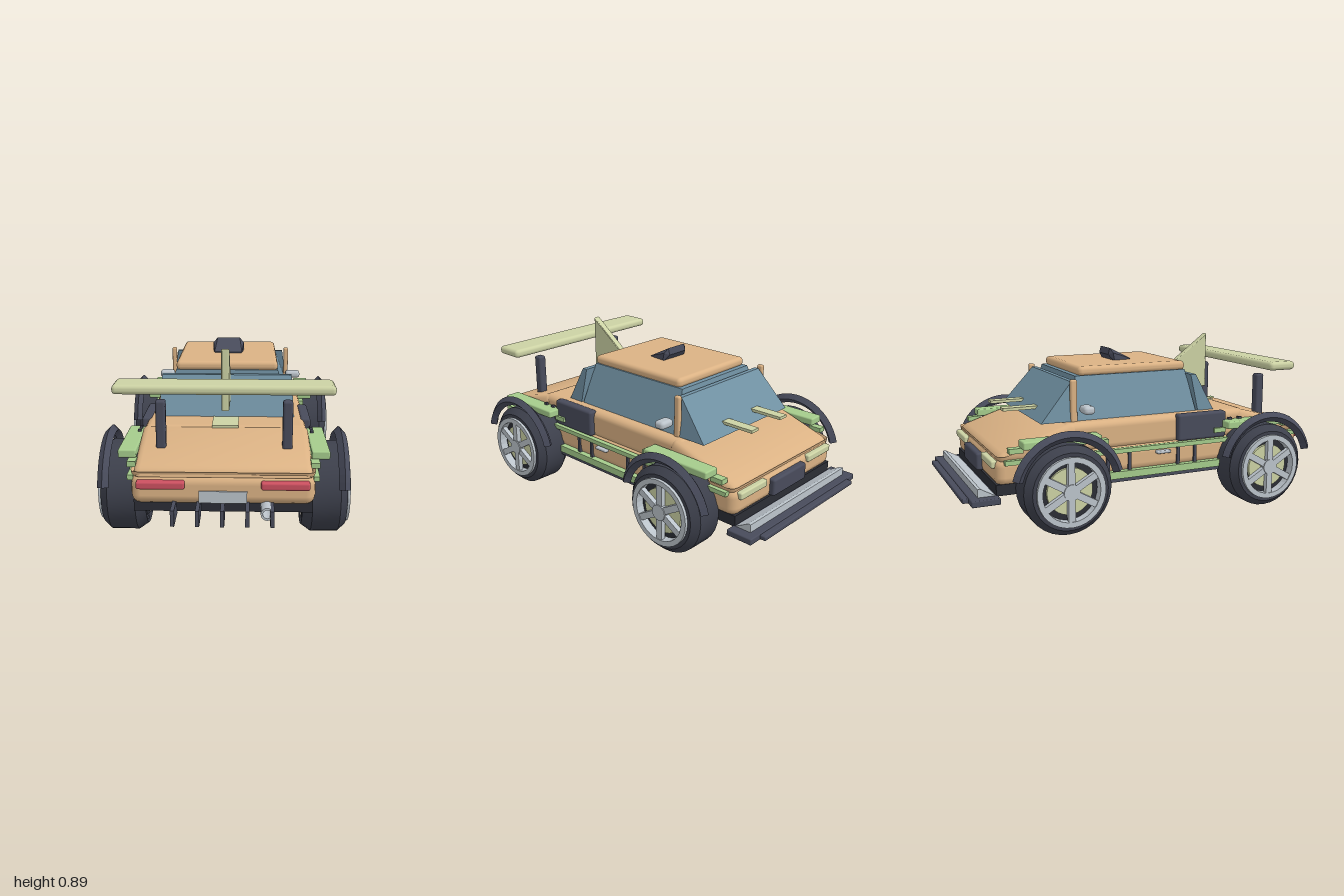
import * as THREE from 'three';
import { mergeVertices, toCreasedNormals } from 'three/addons/utils/BufferGeometryUtils.js';
import { RoundedBoxGeometry } from 'three/addons/geometries/RoundedBoxGeometry.js';
import { ConvexGeometry } from 'three/addons/geometries/ConvexGeometry.js';

const mat = (name, color) => Object.assign(new THREE.MeshStandardMaterial({ color }), { name });

export function createModel() {
  const car = new THREE.Group();
  car.name = 'raceCar';
  const tan = mat('tan paint', 0xdbb284), green = mat('light green', 0xa5cc8c), pale = mat('pale green', 0xccd2a4);
  const glass = mat('blue glass', 0x7090a2), dark = mat('dark trim', 0x484b5b), tyreMat = mat('tyre', 0x3d404c);
  const under = mat('underbody black', 0x2b2d35), grey = mat('light grey', 0xbcc4cb), red = mat('red lamp', 0xcc5060);

  const add = (name, geo, m, parent = car) => {
    const mesh = new THREE.Mesh(geo, m);
    mesh.name = name;
    parent.add(mesh);
    return mesh;
  };
  // Boxes are given by their limits on each axis
  const box = (name, m, [x0, x1], [y0, y1], [z0, z1], r = 0, parent = car) => {
    const s = [x1 - x0, y1 - y0, z1 - z0];
    const geo = r ? new RoundedBoxGeometry(...s, 2, r) : new THREE.BoxGeometry(...s);
    geo.translate((x0 + x1) / 2, (y0 + y1) / 2, (z0 + z1) / 2);
    return add(name, geo, m, parent);
  };
  const pair = (name, m, [x0, x1], y, z, r = 0) => {
    box(name + 'Left', m, [x0, x1], y, z, r);
    box(name + 'Right', m, [-x1, -x0], y, z, r);
  };
  // Frustum between two rectangles: half width and z range at two heights
  const frustum = (name, m, y0, w0, z0, y1, w1, z1) => {
    const pts = [];
    for (const [y, w, z] of [[y0, w0, z0], [y1, w1, z1]])
      for (const s of [-1, 1]) for (const k of z) pts.push(new THREE.Vector3(s * w, y, k));
    return add(name, new ConvexGeometry(pts), m);
  };
  // Rounded panel whose upper half is reshaped by a rule
  const shaped = (name, m, x, y, z, r, rule) => {
    const mesh = box(name, m, x, y, z, r);
    let geo = mesh.geometry;
    geo.deleteAttribute('uv');
    geo.deleteAttribute('normal');
    geo = mergeVertices(geo, 1e-4);
    const p = geo.attributes.position, v = new THREE.Vector3();
    for (let i = 0; i < p.count; i++) {
      v.fromBufferAttribute(p, i);
      if (v.y > (y[0] + y[1]) / 2) rule(v);
      p.setXYZ(i, v.x, v.y, v.z);
    }
    mesh.geometry = toCreasedNormals(geo, 0.7);
  };

  // Body shell
  box('underbody', under, [-0.41, 0.41], [0.195, 0.25], [-0.84, 0.87]);
  box('lowerBody', tan, [-0.42, 0.42], [0.235, 0.375], [-0.84, 0.9], 0.045);
  box('middleBody', tan, [-0.4, 0.4], [0.36, 0.51], [-0.49, 0.56], 0.035);
  shaped('hood', tan, [-0.42, 0.42], [0.35, 0.51], [-0.83, -0.42], 0.035, v => {
    v.y -= 0.125 * Math.max(0, (-0.48 - v.z) / 0.35);
    v.x *= 0.97;
  });
  shaped('trunk', tan, [-0.42, 0.42], [0.36, 0.505], [0.5, 0.9], 0.035, v => {
    v.y -= 0.1 * Math.max(0, (v.z - 0.55) / 0.35);
    v.x *= 0.97;
  });

  // Cabin
  frustum('sideGlass', glass, 0.5, 0.345, [-0.42, 0.28], 0.725, 0.265, [-0.38, 0.25]);
  frustum('windshield', glass, 0.51, 0.345, [-0.59, -0.43], 0.705, 0.315, [-0.42, -0.395]);
  frustum('rearWindow', glass, 0.51, 0.345, [0.29, 0.385], 0.705, 0.335, [0.25, 0.28]);
  box('roof', tan, [-0.265, 0.265], [0.72, 0.77], [-0.36, 0.255], 0.022);
  pair('windshieldPillar', tan, [0.325, 0.352], [0.5, 0.72], [-0.435, -0.4], 0.01);
  pair('mirror', grey, [0.335, 0.42], [0.55, 0.592], [-0.39, -0.33], 0.018);

  // Roof scoop: wedge rising toward the nose
  add('roofScoop', new ConvexGeometry([-1, 1].flatMap(s => [
    [0.085, 0.76, -0.08], [0.065, 0.76, 0.02], [0.085, 0.81, -0.09],
    [0.062, 0.835, -0.1], [0.062, 0.8, -0.11], [0.075, 0.775, 0.015],
  ].map(([x, y, z]) => new THREE.Vector3(s * x, y, z)))), dark);

  // Tail fin, drawn in z and y and extruded across x
  const finShape = new THREE.Shape([[0.525, 0.585], [0.525, 0.88], [0.27, 0.69], [0.27, 0.585]].map(p => new THREE.Vector2(...p)));
  const finGeo = new THREE.ExtrudeGeometry(finShape, { depth: 0.02, bevelSize: 0.006, bevelThickness: 0.01, bevelSegments: 2 });
  finGeo.translate(0, 0, -0.01).rotateY(-Math.PI / 2);
  add('tailFin', finGeo, pale);
  box('finBase', pale, [-0.065, 0.065], [0.5, 0.512], [0.39, 0.555]);

  // Rear wing
  box('rearWing', pale, [-0.51, 0.51], [0.722, 0.768], [0.635, 0.795], 0.02);
  pair('wingPost', dark, [0.273, 0.32], [0.43, 0.68], [0.68, 0.73], 0.012);

  // Hood strips and side scoops
  pair('hoodStrip', pale, [0.092, 0.147], [0.55, 0.565], [-0.725, -0.52]);
  pair('sideScoop', dark, [0.375, 0.428], [0.37, 0.512], [0.13, 0.42], 0.014);

  // Nose
  pair('headlight', pale, [0.18, 0.385], [0.325, 0.362], [-0.855, -0.82], 0.008);
  box('grille', dark, [-0.14, 0.14], [0.255, 0.345], [-0.868, -0.82], 0.012);
  box('splitter', dark, [-0.46, 0.46], [0.168, 0.2], [-0.97, -0.83], 0.006);
  box('splitterLip', dark, [-0.39, 0.39], [0.172, 0.195], [-1, -0.95], 0.006);
  frustum('splitterBlade', grey, 0.198, 0.41, [-0.93, -0.84], 0.24, 0.41, [-0.93, -0.915]);

  // Tail
  pair('tailLight', red, [0.172, 0.392], [0.318, 0.355], [0.88, 0.925], 0.01);
  box('rearPlate', grey, [-0.11, 0.11], [0.25, 0.306], [0.895, 0.907]);
  for (let i = -2; i <= 2; i++)
    box('diffuserFin', dark, [i * 0.111 - 0.009, i * 0.111 + 0.009], [0.175, 0.25], [0.85, 1]);
  const pipe = new THREE.LatheGeometry([[0.02, -0.06], [0.02, 0.06], [0.03, 0.06], [0.03, -0.06]].map(p => new THREE.Vector2(...p)), 16);
  const exhaust = add('exhaust', toCreasedNormals(pipe, 0.6), grey);
  grey.side = THREE.DoubleSide;
  exhaust.rotation.x = Math.PI / 2;
  exhaust.position.set(0.2, 0.225, 0.91);

  // Side trim
  pair('beltStrip', green, [0.41, 0.438], [0.345, 0.368], [-0.8, 0.87]);
  pair('sideSkirt', green, [0.4, 0.442], [0.215, 0.252], [-0.32, 0.4]);
  pair('skirtEdge', dark, [0.4, 0.435], [0.197, 0.216], [-0.32, 0.4]);
  for (const z of [0.23, 0.13, -0.15, -0.27])
    pair('sideRib', dark, [0.41, 0.43], [0.25, 0.346], [z - 0.008, z + 0.008]);
  pair('doorHandle', grey, [0.41, 0.445], [0.32, 0.336], [0, 0.08], 0.006);

  // Fenders, each a flat top with drooping ends
  for (const c of [-0.525, 0.595]) {
    pair('fender', green, [0.405, 0.49], [0.423, 0.463], [c - 0.2, c + 0.2], 0.008);
    for (const s of [-1, 1]) {
      pair('fenderEnd', green, [0.4, 0.44], [0.4, 0.425], [c + s * 0.22 - 0.035, c + s * 0.22 + 0.035]);
    }
  }
  for (const z of [0.44, 0.5]) pair('fenderBolt', dark, [0.42, 0.435], [0.46, 0.475], [z - 0.01, z + 0.01]);

  // Wheels, built along +x and turned round for the right side
  const tyreProfile = [[0.15, -0.105], [0.165, -0.11], [0.19, -0.11], [0.222, -0.065], [0.222, 0.065], [0.19, 0.1], [0.172, 0.1], [0.165, 0.07]]
    .map(p => new THREE.Vector2(...p));
  const tyreGeo = toCreasedNormals(new THREE.LatheGeometry(tyreProfile, 32).rotateZ(-Math.PI / 2), 0.4);
  const disc = (r, d, x) => new THREE.CylinderGeometry(r, r, d, 32).rotateZ(-Math.PI / 2).translate(x, 0, 0);
  const ringShape = new THREE.Shape().absarc(0, 0, 0.172, 0, Math.PI * 2);
  ringShape.holes.push(new THREE.Path().absarc(0, 0, 0.145, 0, Math.PI * 2, true));
  const ringGeo = new THREE.ExtrudeGeometry(ringShape, { depth: 0.045, bevelEnabled: false, curveSegments: 16 })
    .rotateY(Math.PI / 2).translate(0.07, 0, 0);
  // Diamond-section arch over the upper part of the wheel
  const archGeo = new THREE.TorusGeometry(0.26, 0.026, 4, 20, Math.PI * 5 / 6).rotateZ(Math.PI / 12).rotateY(Math.PI / 2).toNonIndexed();
  archGeo.computeVertexNormals();
  dark.side = THREE.DoubleSide;

  for (const side of [1, -1]) for (const z of [-0.525, 0.595]) {
    const wheel = new THREE.Group();
    wheel.name = (z < 0 ? 'nose' : 'tail') + 'Wheel' + (side > 0 ? 'Left' : 'Right');
    wheel.position.set(side * 0.48, 0.224, z);
    if (side < 0) wheel.rotation.y = Math.PI;
    car.add(wheel);
    add('tyre', tyreGeo, tyreMat, wheel);
    add('wheelWell', disc(0.168, 0.17, -0.015), under, wheel);
    add('brakeDisc', disc(0.115, 0.02, 0.075), pale, wheel);
    add('rimRing', ringGeo, grey, wheel);
    add('hub', disc(0.04, 0.04, 0.095), grey, wheel);
    for (let i = 0; i < 3; i++)
      add('spokePair', new THREE.BoxGeometry(0.025, 0.31, 0.034), grey, wheel).rotation.x = i * Math.PI / 3;
    wheel.children.filter(o => o.name === 'spokePair').forEach(o => { o.position.x = 0.098; });
    const arch = add('wheelArch', archGeo, dark);
    arch.position.set(side * 0.555, 0.228, z);
  }
  return car;
}
